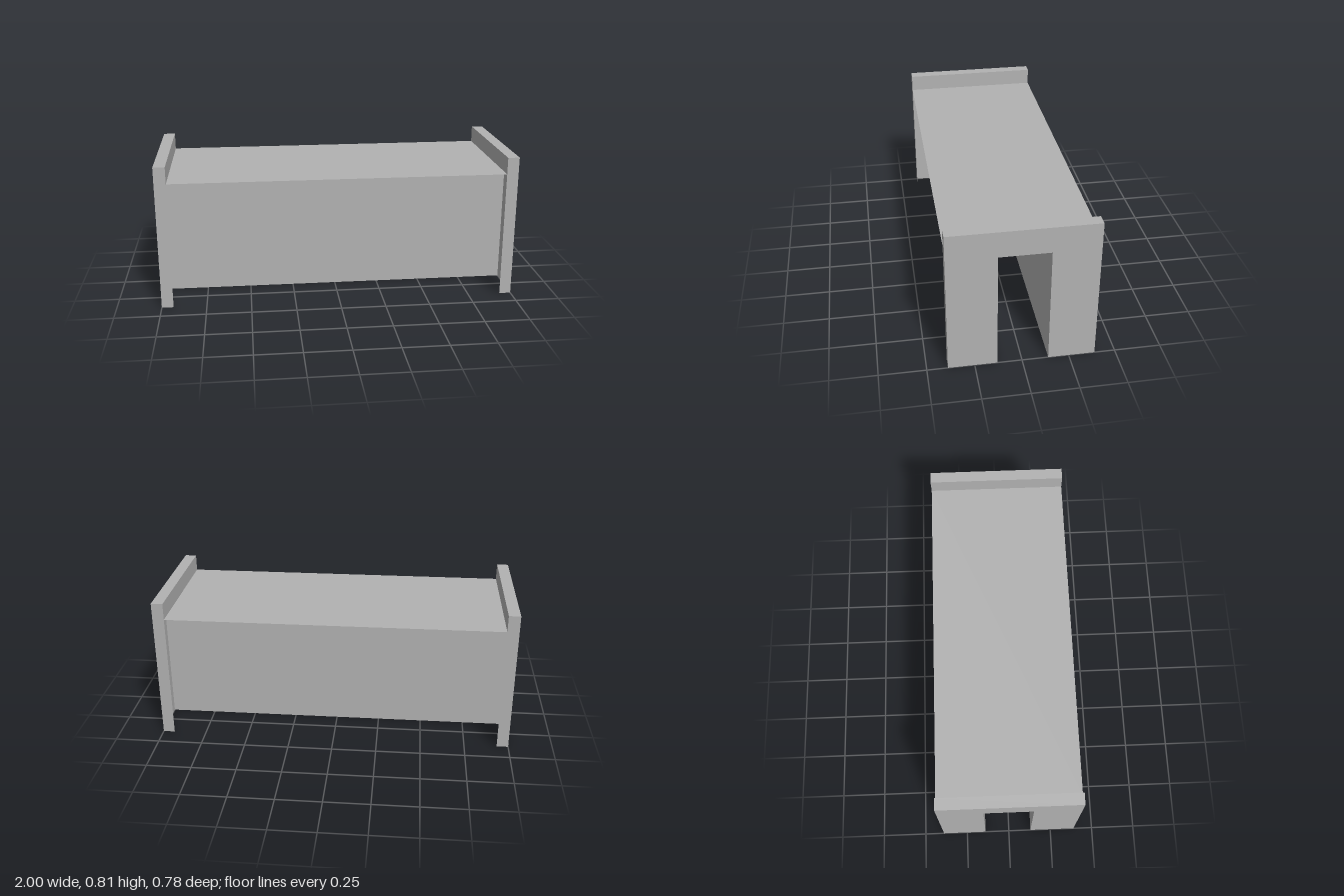
import * as THREE from 'three';

export function createModel() {
  const group = new THREE.Group();
  const concrete = new THREE.MeshStandardMaterial({ color: 0xb2b2b2, side: THREE.DoubleSide });
  concrete.name = 'concrete grey';

  const HALF = 1, INNER = 0.935, DEPTH = 0.39;
  const TOP = 0.812, DECK = 0.718, ROOF = 0.667;
  const Z_FRONT = 0.13, Z_BACK = -0.14;

  function add(name, geometry) {
    const mesh = new THREE.Mesh(geometry, concrete);
    mesh.name = name;
    group.add(mesh);
    return mesh;
  }
  // Thin sheets: level (x by z), upright facing z (x by y), upright facing x (z by y)
  const level = (name, x0, x1, z0, z1, y) =>
    add(name, new THREE.PlaneGeometry(x1 - x0, z1 - z0).rotateX(-Math.PI / 2))
      .position.set((x0 + x1) / 2, y, (z0 + z1) / 2);
  const facingZ = (name, x0, x1, y0, y1, z) =>
    add(name, new THREE.PlaneGeometry(x1 - x0, y1 - y0))
      .position.set((x0 + x1) / 2, (y0 + y1) / 2, z);
  const facingX = (name, z0, z1, y0, y1, x) =>
    add(name, new THREE.PlaneGeometry(z1 - z0, y1 - y0).rotateY(Math.PI / 2))
      .position.set(x, (y0 + y1) / 2, (z0 + z1) / 2);

  // Tunnel lining running the full length
  facingZ('tunnelFrontWall', -HALF, HALF, 0, ROOF, Z_FRONT);
  facingZ('tunnelBackWall', -HALF, HALF, 0, ROOF, Z_BACK);
  level('tunnelRoof', -HALF, HALF, Z_BACK, Z_FRONT, ROOF);

  // Deck above the tunnel, between the two portals
  level('deck', -INNER, INNER, -DEPTH, DEPTH, DECK);

  // Portal outline; shape x is -z
  const outline = new THREE.Shape([
    [-DEPTH, 0], [-Z_FRONT, 0], [-Z_FRONT, ROOF], [-Z_BACK, ROOF],
    [-Z_BACK, 0], [DEPTH, 0], [DEPTH, TOP], [-DEPTH, TOP],
  ].map(([x, y]) => new THREE.Vector2(x, y)));

  for (const side of [-1, 1]) {
    const label = side > 0 ? 'left' : 'right';
    const x0 = Math.min(side * INNER, side * HALF);
    const x1 = Math.max(side * INNER, side * HALF);
    const face = add(label + 'PortalFace', new THREE.ShapeGeometry(outline).rotateY(Math.PI / 2));
    face.position.x = side * HALF;
    // Rim around the portal and the parapet above the deck
    level(label + 'PortalTop', x0, x1, -DEPTH, DEPTH, TOP);
    facingZ(label + 'PortalFrontEdge', x0, x1, 0, TOP, DEPTH);
    facingZ(label + 'PortalBackEdge', x0, x1, 0, TOP, -DEPTH);
    facingX(label + 'Parapet', -DEPTH, DEPTH, DECK, TOP, side * INNER);
  }
  return group;
}
